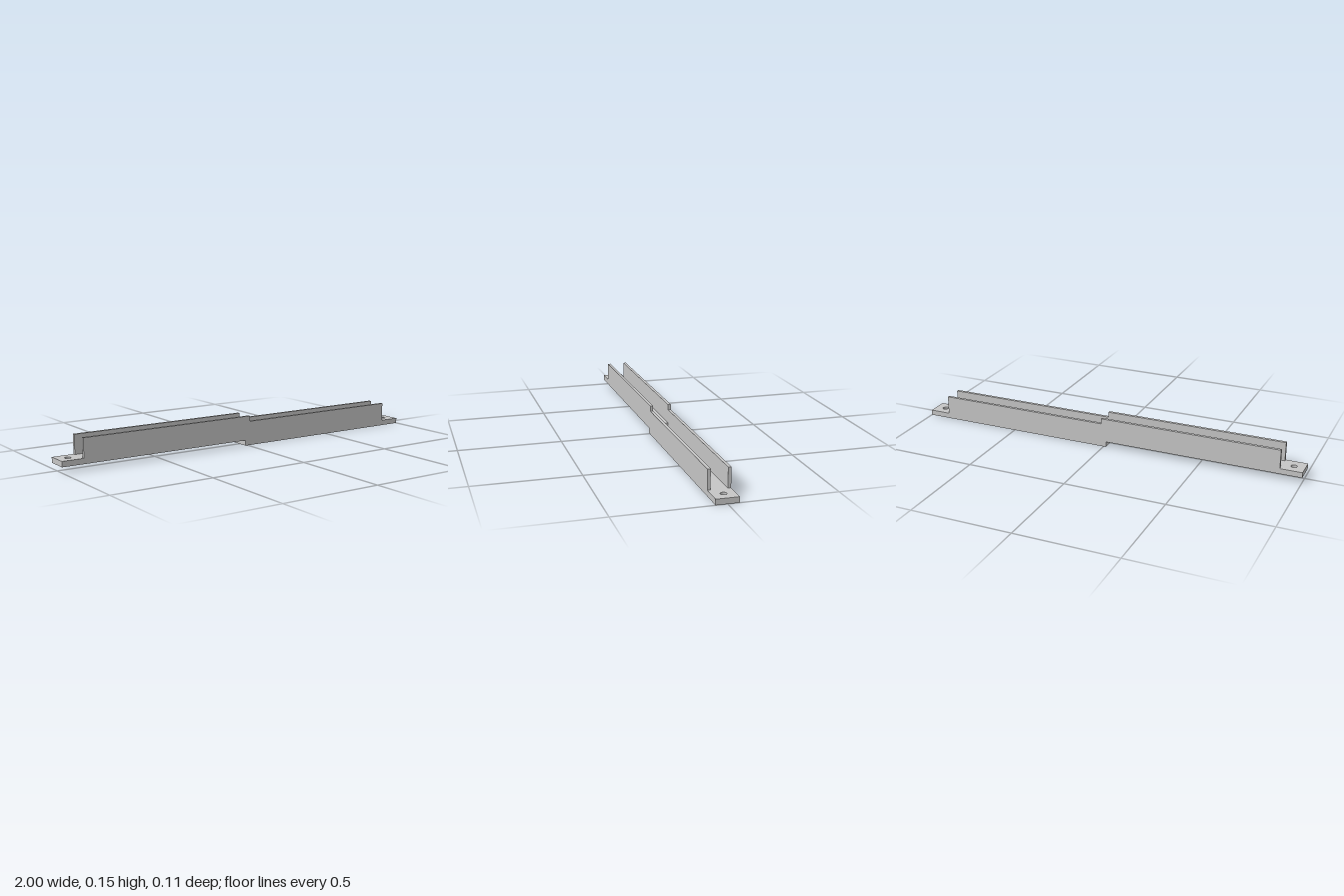
import * as THREE from 'three';

const HALF_WIDTH = 0.053, WALL = 0.0145, PLATE = 0.0267;
const WALL_END = 0.893, STEP = 0.0133, LAP = -0.0133;
const HOLE_X = 0.947, HOLE_R = 0.0147;

export function createModel() {
  const group = new THREE.Group();
  const grey = new THREE.MeshStandardMaterial({ color: 0xc5c5c5 });
  grey.name = 'lightGrey';

  const add = (name, geometry) => {
    const mesh = new THREE.Mesh(geometry, grey);
    mesh.name = name;
    group.add(mesh);
    return mesh;
  };

  // Flat floor plate with one screw hole, lying at height y
  const plate = (name, x0, x1, y, holeX) => {
    const shape = new THREE.Shape([
      new THREE.Vector2(x0, -HALF_WIDTH), new THREE.Vector2(x1, -HALF_WIDTH),
      new THREE.Vector2(x1, HALF_WIDTH), new THREE.Vector2(x0, HALF_WIDTH),
    ]);
    const hole = new THREE.Path();
    hole.absarc(holeX, 0, HOLE_R, 0, Math.PI * 2, true);
    shape.holes.push(hole);
    const geometry = new THREE.ExtrudeGeometry(shape, { depth: PLATE, bevelEnabled: false, curveSegments: 16 });
    geometry.rotateX(-Math.PI / 2);
    add(name, geometry).position.y = y;
  };
  plate('upperFloor', -1, STEP, PLATE, -HOLE_X);
  plate('lowerFloor', LAP, 1, 0, HOLE_X);

  // Stepped side walls standing on the floors
  const profile = new THREE.Shape([
    [-WALL_END, 2 * PLATE], [STEP, 2 * PLATE], [STEP, PLATE], [WALL_END, PLATE],
    [WALL_END, 0.12], [STEP, 0.12], [STEP, 0.147], [-WALL_END, 0.147],
  ].map(([x, y]) => new THREE.Vector2(x, y)));
  const wall = new THREE.ExtrudeGeometry(profile, { depth: WALL, bevelEnabled: false });
  add('frontWall', wall).position.z = HALF_WIDTH - WALL;
  add('backWall', wall).position.z = -HALF_WIDTH;

  return group;
}
